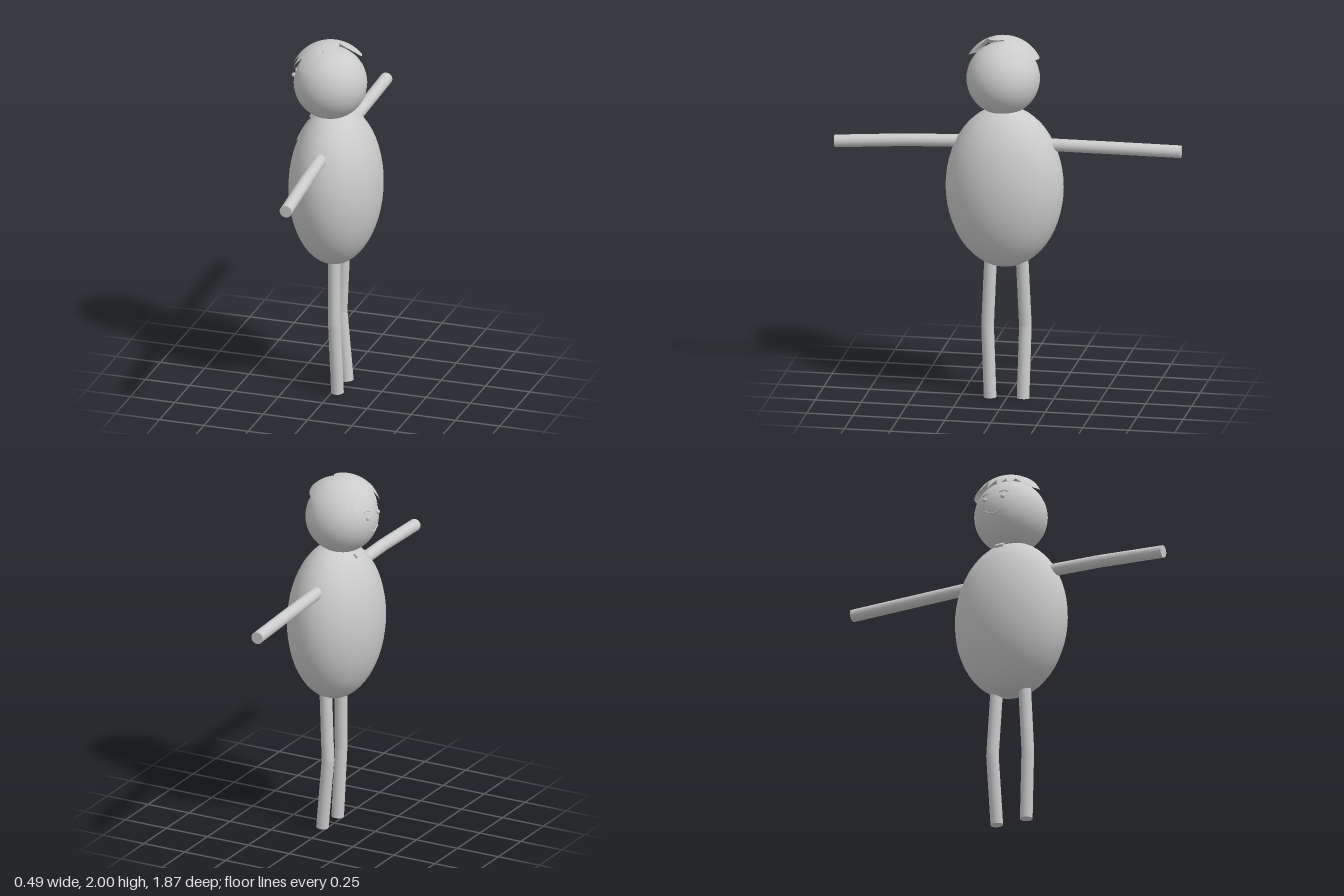
import * as THREE from 'three';

const mat = new THREE.MeshStandardMaterial({ color: 0xcccccc });
const thin = new THREE.MeshStandardMaterial({ color: 0xcccccc, side: THREE.DoubleSide });
const V = (p) => new THREE.Vector3(...p);

const HEAD = [-0.03, 1.768, 0.03];
const BODY = [-0.003, 1.175, 0.017];
const BODY_R = [0.247, 0.445, 0.318];

function add(parent, name, geometry, material = mat) {
  const mesh = new THREE.Mesh(geometry, material);
  mesh.name = name;
  parent.add(mesh);
  return mesh;
}

// Round stick through a few points, with a ball at each bend
function limb(name, points, radius = 0.034) {
  const group = new THREE.Group();
  group.name = name;
  for (let i = 0; i < points.length - 1; i++) {
    const a = V(points[i]), b = V(points[i + 1]);
    const dir = b.clone().sub(a);
    const stick = add(group, name + 'Segment', new THREE.CylinderGeometry(radius, radius, dir.length(), 20));
    stick.position.copy(a).add(b).multiplyScalar(0.5);
    stick.quaternion.setFromUnitVectors(new THREE.Vector3(0, 1, 0), dir.normalize());
    if (i > 0) add(group, name + 'Joint', new THREE.SphereGeometry(radius, 20, 12)).position.copy(a);
  }
  return group;
}

// Surface from a grid of points given by f(i, j)
function gridSurface(nu, nv, f) {
  const pos = [], index = [];
  for (let i = 0; i <= nu; i++) for (let j = 0; j <= nv; j++) pos.push(...f(i, j));
  for (let i = 0; i < nu; i++) for (let j = 0; j < nv; j++) {
    const a = i * (nv + 1) + j, b = a + nv + 1;
    index.push(a, b, a + 1, b, b + 1, a + 1);
  }
  const g = new THREE.BufferGeometry();
  g.setAttribute('position', new THREE.Float32BufferAttribute(pos, 3));
  g.setIndex(index);
  g.computeVertexNormals();
  return g;
}

// Hair shell: a dome whose lower edge follows [heading, polar angle] in degrees
function hairGeometry() {
  const edge = [[-14, 12], [40, 17], [97.9, 23], [98, 64], [127, 67], [142, 49]];
  const teeth = 5;
  for (let i = 0; i < teeth; i++) {
    const a = 142 + (i * 90) / teeth;
    edge.push([a + 12, 67], [a + 18, 50]);
  }
  edge.push([235, 64], [270, 62], [310, 56], [345.9, 49], [346, 12]);
  const rim = [];
  for (let k = 0; k < edge.length - 1; k++) {
    const [a0, t0] = edge[k], [a1, t1] = edge[k + 1];
    const n = Math.max(1, Math.ceil((a1 - a0) / 6));
    for (let s = 0; s < n; s++) rim.push([a0 + ((a1 - a0) * s) / n, t0 + ((t1 - t0) * s) / n]);
  }
  rim.push(edge[edge.length - 1]);
  const rows = 10, r = 0.219, rad = Math.PI / 180;
  const g = gridSurface(rim.length - 1, rows, (i, j) => {
    const a = rim[i][0] * rad, t = (rim[i][1] * rad * j) / rows;
    return [r * Math.sin(t) * Math.cos(a), r * Math.cos(t), r * Math.sin(t) * Math.sin(a)];
  });
  // Exact dome normals keep the shell smooth
  const p = g.attributes.position, v = new THREE.Vector3();
  for (let i = 0; i < p.count; i++) {
    v.fromBufferAttribute(p, i).normalize();
    g.attributes.normal.setXYZ(i, v.x, v.y, v.z);
  }
  // Faces wind outward
  const ix = g.index.array;
  for (let i = 0; i < ix.length; i += 3) [ix[i + 1], ix[i + 2]] = [ix[i + 2], ix[i + 1]];
  return g;
}

// Point on the face (-x side) at height y and depth z
function onFace(y, z, lift = 0) {
  const dy = y - HEAD[1], dz = z - HEAD[2];
  return [HEAD[0] - Math.sqrt(0.197 ** 2 - dy * dy - dz * dz) - lift, y, z];
}

// Point on the chest (-x side)
function onChest(y, z, lift) {
  const dy = (y - BODY[1]) / BODY_R[1], dz = (z - BODY[2]) / BODY_R[2];
  return [BODY[0] - BODY_R[0] * Math.sqrt(Math.max(0, 1 - dy * dy - dz * dz)) - lift, y, z];
}

function faceLine(parent, name, points, radius) {
  const curve = new THREE.CatmullRomCurve3(points.map(([y, z]) => V(onFace(y, z, 0.003))));
  add(parent, name, new THREE.TubeGeometry(curve, 12, radius, 6));
}

export function createModel() {
  const model = new THREE.Group();
  model.name = 'stickLimbedFigure';

  // Egg-shaped body and round head
  const body = add(model, 'body', new THREE.SphereGeometry(1, 40, 28));
  body.scale.set(...BODY_R);
  body.position.set(...BODY);
  add(model, 'head', new THREE.SphereGeometry(0.197, 36, 24)).position.set(...HEAD);

  // Hair
  add(model, 'hair', hairGeometry(), thin).position.set(HEAD[0], 1.781, HEAD[2]);

  // Eyes, brows and mouth
  for (const side of [-1, 1]) {
    const z = HEAD[2] + side * 0.055;
    add(model, 'eye', new THREE.SphereGeometry(0.013, 16, 12)).position.set(...onFace(1.808, z, 0.002));
    faceLine(model, 'eyebrow', [[1.84, z - 0.025], [1.845, z], [1.84, z + 0.025]], 0.004);
  }
  faceLine(model, 'mouth', [[1.735, -0.02], [1.718, 0.03], [1.735, 0.08]], 0.004);

  // Tie lying on the chest, with a small knot
  add(model, 'tie', gridSurface(6, 6, (i, j) => {
    const t = i / 6, half = 0.034 + 0.016 * t;
    return onChest(1.57 - 0.16 * t, BODY[2] + (j / 3 - 1) * half, 0.006);
  }), thin);
  const knot = add(model, 'tieKnot', new THREE.BoxGeometry(0.02, 0.025, 0.05));
  knot.position.set(...onChest(1.565, BODY[2], 0.008));
  knot.rotation.z = -0.8;

  // Arms and legs
  model.add(
    limb('frontArm', [[-0.01, 1.415, 0.2], [0.008, 1.407, 0.55], [0.025, 1.384, 0.935]]),
    limb('backArm', [[-0.02, 1.413, -0.2], [-0.03, 1.41, -0.55], [-0.043, 1.405, -0.935]]),
    limb('frontLeg', [[0.01, 0.84, 0.088], [0.018, 0.4, 0.106], [0.03, 0.003, 0.09]]),
    limb('backLeg', [[0.012, 0.84, -0.078], [-0.012, 0.4, -0.094], [0.025, 0.005, -0.088]]),
  );
  return model;
}
